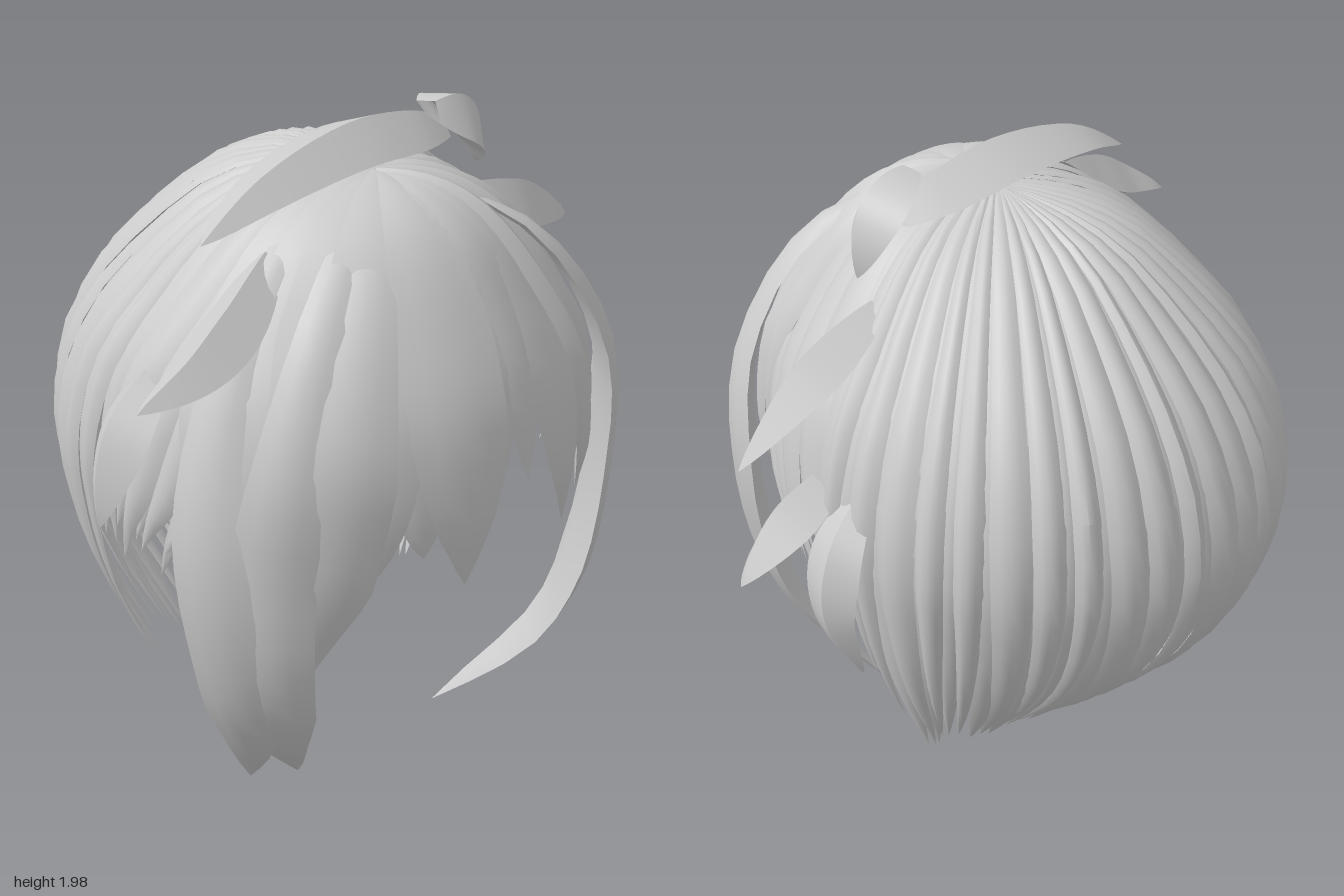
import * as THREE from 'three';
import { toCreasedNormals } from 'three/addons/utils/BufferGeometryUtils.js';

const V = (x, y, z) => new THREE.Vector3(x, y, z);
const RAD = Math.PI / 180;
const material = new THREE.MeshStandardMaterial({ color: 0xcccccc, side: THREE.DoubleSide });
const HEAD = V(-0.08, 1.0, 0);

// Meridian of the hair: x = spread from crown, y = height, z = pull towards the nape
const profile = [
  [0, 1.88, 0], [0.25, 1.855, 0], [0.5, 1.76, 0], [0.75, 1.55, 0], [0.92, 1.36, 0], [1, 1.1, 0],
  [1, 0.95, 0.02], [1, 0.75, 0.15], [1, 0.55, 0.41], [1, 0.38, 0.74], [1, 0.25, 1],
].map(p => V(...p));
const meridian = new THREE.CatmullRomCurve3(profile, false, 'centripetal');

// Point on the hair surface; angle in degrees from the front, v runs from crown to nape
function onHair(angle, v, scale = 1) {
  const s = Math.sin(angle * RAD), c = Math.cos(angle * RAD);
  const m = meridian.getPoint(v);
  const crown = V(-0.07, 0, 0.17 + 0.1 * c);
  const rim = V(-0.09 + 0.73 * s * scale, 0, 0.81 * c * scale);
  const nape = c < 0 ? V(-0.08 + 0.51 * s, 0, -0.15 - 0.13 * Math.abs(c)) : rim.clone().multiplyScalar(0.75);
  const p = crown.lerp(rim, m.x).lerp(nape, m.z);
  return p.setY(m.y + (scale - 1) * 0.3);
}

function hairPath(angle, vEnd, drift = 0, scale = 1) {
  return Array.from({ length: 12 }, (_, i) => {
    const u = i / 11;
    return onHair(angle + drift * u * u, vEnd * u, scale);
  });
}

// Width rules along a strand
const lockWidth = (tip = 0.7, root = 0.12) => u =>
  Math.min(1, root + (1 - root) * u / 0.45) * (u > tip ? Math.pow((1 - u) / (1 - tip), 0.8) : 1);
const leafWidth = u => Math.pow(Math.sin(Math.PI * Math.min(1, 0.12 + 0.88 * u)), 0.8);

// Cross-sections: across the strand, and outward from the head
const ROUNDED = [[-0.5, 0], [-0.27, 0.7], [0, 1], [0.27, 0.7], [0.5, 0], [0, -0.6]];
const RIDGED = [[-0.5, 0], [-0.05, 1], [0.5, 0], [0, -0.25]];

// Tapered strand lofted along a curve
function strand(name, points, width, thickness, widthAt, facing, section = ROUNDED) {
  const curve = new THREE.CatmullRomCurve3(points, false, 'centripetal');
  const rows = 20, n = section.length, pos = [], index = [];
  for (let r = 0; r <= rows; r++) {
    const u = r / rows, p = curve.getPoint(u), t = curve.getTangent(u);
    const out = facing ? facing.clone() : p.clone().sub(HEAD);
    out.addScaledVector(t, -out.dot(t)).normalize();
    const side = t.clone().cross(out);
    const k = Math.max(0.01, widthAt(u));
    for (const [a, b] of section) {
      const q = p.clone().addScaledVector(side, a * width * k).addScaledVector(out, b * thickness * k);
      pos.push(q.x, q.y, q.z);
    }
    if (r === rows) break;
    for (let i = 0; i < n; i++) {
      const a = r * n + i, b = r * n + (i + 1) % n;
      index.push(a, b, a + n, a + n, b, b + n);
    }
  }
  return makeMesh(name, pos, index);
}

function makeMesh(name, pos, index) {
  const g = new THREE.BufferGeometry();
  g.setAttribute('position', new THREE.Float32BufferAttribute(pos, 3));
  g.setIndex(index);
  const mesh = new THREE.Mesh(toCreasedNormals(g, 0.7), material);
  mesh.name = name;
  return mesh;
}

// Smooth under-layer over the top of the head
function cap() {
  const rows = 10, cols = 48, pos = [], index = [];
  for (let r = 0; r <= rows; r++) {
    for (let c = 0; c <= cols; c++) pos.push(...onHair(c * 360 / cols, 0.4 * r / rows, 0.98).toArray());
  }
  for (let r = 0; r < rows; r++) {
    for (let c = 0; c < cols; c++) {
      const a = r * (cols + 1) + c, b = a + cols + 1;
      index.push(a, b, a + 1, a + 1, b, b + 1);
    }
  }
  return makeMesh('cap', pos, index);
}

export function createModel() {
  const model = new THREE.Group();
  model.name = 'hair';
  const group = name => {
    const g = new THREE.Group();
    g.name = name;
    model.add(g);
    return g;
  };
  model.add(cap());

  // Back strands, shorter towards the ears, in two alternating layers
  const back = group('backHair');
  const count = 43;
  for (let i = 0; i < count; i++) {
    const angle = 92 + 176 * i / (count - 1);
    const edge = Math.min(angle - 90, 270 - angle);
    const wobble = Math.sin(i * 5.3);
    const end = Math.min(0.975, 0.61 + 0.35 * edge / 18) + 0.025 * wobble;
    back.add(strand('backStrand', hairPath(angle, Math.min(end, 1), 2 * wobble, i % 2 ? 0.995 : 0.965),
      (i % 2 ? 0.1 : 0.13) + 0.025 * wobble, 0.025, lockWidth(0.58)));
  }

  // Short strands over the ears, sweeping backwards
  const sides = group('sideHair');
  for (const s of [1, -1]) {
    for (let i = 0; i < 9; i++) {
      const end = 0.645 + 0.025 * Math.sin(i * 4.1);
      sides.add(strand('sideStrand', hairPath(s * (42 + i * 5), end, s * (28 - i * 1.5), i % 2 ? 0.985 : 0.955),
        0.15, 0.025, lockWidth(0.6)));
    }
  }

  // Fringe: angle, end, width, drift, layer, thickness
  const fringe = group('fringe');
  for (const [angle, end, width, drift, layer, thickness] of [
    [-62, 0.62, 0.26, 4, 0.99, 0.02], [-50, 0.68, 0.3, 4, 1, 0.02], [-38, 0.64, 0.32, 2, 0.99, 0.02],
    [-27, 0.6, 0.3, 1, 1, 0.02], [-18, 0.575, 0.28, 2, 0.985, 0.02], [-8, 0.64, 0.3, 2, 1, 0.02],
    [3, 0.515, 0.26, -2, 0.985, 0.02], [12, 0.49, 0.24, 0, 0.99, 0.02], [22, 0.64, 0.25, 8, 1, 0.02],
    [31, 0.52, 0.16, 4, 0.98, 0.03], [36, 0.62, 0.13, 4, 1.01, 0.05], [42, 0.58, 0.11, 3, 0.985, 0.04],
    [48, 0.6, 0.12, 3, 1.01, 0.05], [55, 0.5, 0.11, 3, 1, 0.05],
  ]) fringe.add(strand('fringeStrand', hairPath(angle, end, drift, layer), width, thickness, lockWidth(0.66)));

  // Long locks framing the face
  const locks = group('faceLocks');
  locks.add(
    strand('rightOuterLock', [V(-0.1, 1.87, 0.22), V(-0.5, 1.7, 0.33), V(-0.72, 1.3, 0.41), V(-0.77, 0.95, 0.46),
      V(-0.72, 0.6, 0.47), V(-0.63, 0.32, 0.41), V(-0.52, 0.04, 0.25)], 0.22, 0.03, lockWidth(0.76)),
    strand('rightInnerLock', [V(-0.08, 1.87, 0.25), V(-0.4, 1.7, 0.5), V(-0.61, 1.3, 0.6), V(-0.65, 0.95, 0.58),
      V(-0.64, 0.6, 0.55), V(-0.56, 0.32, 0.46), V(-0.37, 0.01, 0.28)], 0.24, 0.03, lockWidth(0.76)),
    strand('rightFrontLock', [V(-0.06, 1.87, 0.26), V(-0.3, 1.71, 0.53), V(-0.47, 1.35, 0.68), V(-0.53, 1.0, 0.66),
      V(-0.57, 0.75, 0.6), V(-0.59, 0.48, 0.52)], 0.28, 0.03, lockWidth(0.66)),
    strand('leftLock', [V(0, 1.87, 0.25), V(0.3, 1.69, 0.48), V(0.5, 1.35, 0.55), V(0.55, 1.0, 0.52),
      V(0.5, 0.65, 0.52), V(0.4, 0.36, 0.47), V(0.17, 0.03, 0.25)], 0.23, 0.05, lockWidth(0.7), V(1, 0.1, 0.5)),
  );

  // Loose leaf-shaped tufts: name, points, width, thickness, facing
  const tufts = group('looseTufts');
  for (const [name, pts, width, thickness, facing] of [
    ['crownTuft', [V(0.27, 1.87, 0.09), V(0.13, 1.89, 0.1), V(-0.1, 1.91, 0.13), V(-0.4, 1.87, 0.18),
      V(-0.62, 1.79, 0.22)], 0.25, 0.085, V(0, 1, 0.15)],
    ['crownEndTuft', [V(0.18, 1.96, 0.16), V(0.28, 1.91, 0.13), V(0.35, 1.84, 0.11), V(0.41, 1.74, 0.09)],
      0.24, 0.08, V(1, 0.7, 0.2)],
    ['leftUpperTuft', [V(0.36, 1.63, 0.07), V(0.55, 1.54, 0.03), V(0.7, 1.48, -0.01), V(0.91, 1.39, -0.07)],
      0.22, 0.09, V(0.5, 1, 0.25)],
    ['leftMiddleTuft', [V(0.54, 1.18, 0.03), V(0.68, 1.11, 0), V(0.8, 1.06, -0.03), V(0.93, 1.01, -0.07)],
      0.21, 0.09, V(0.5, 1, 0.25)],
    ['leftLowerTuft', [V(0.58, 1.2, -0.14), V(0.68, 1.06, -0.17), V(0.71, 0.88, -0.19), V(0.65, 0.68, -0.24)],
      0.2, 0.05, V(1, 0.2, -0.2)],
    ['rightUpperTuft', [V(-0.44, 1.72, 0.27), V(-0.62, 1.6, 0.36), V(-0.76, 1.53, 0.4), V(-0.94, 1.47, 0.4)],
      0.2, 0.09, V(-0.5, 1, 0.2)],
    ['rightLowerTuft', [V(-0.66, 1.42, 0.1), V(-0.79, 1.29, 0.12), V(-0.87, 1.16, 0.14), V(-0.94, 1.02, 0.17)],
      0.22, 0.08, V(-1, 0.6, 0)],
  ]) tufts.add(strand(name, pts, width, thickness, leafWidth, facing, RIDGED));

  return model;
}
